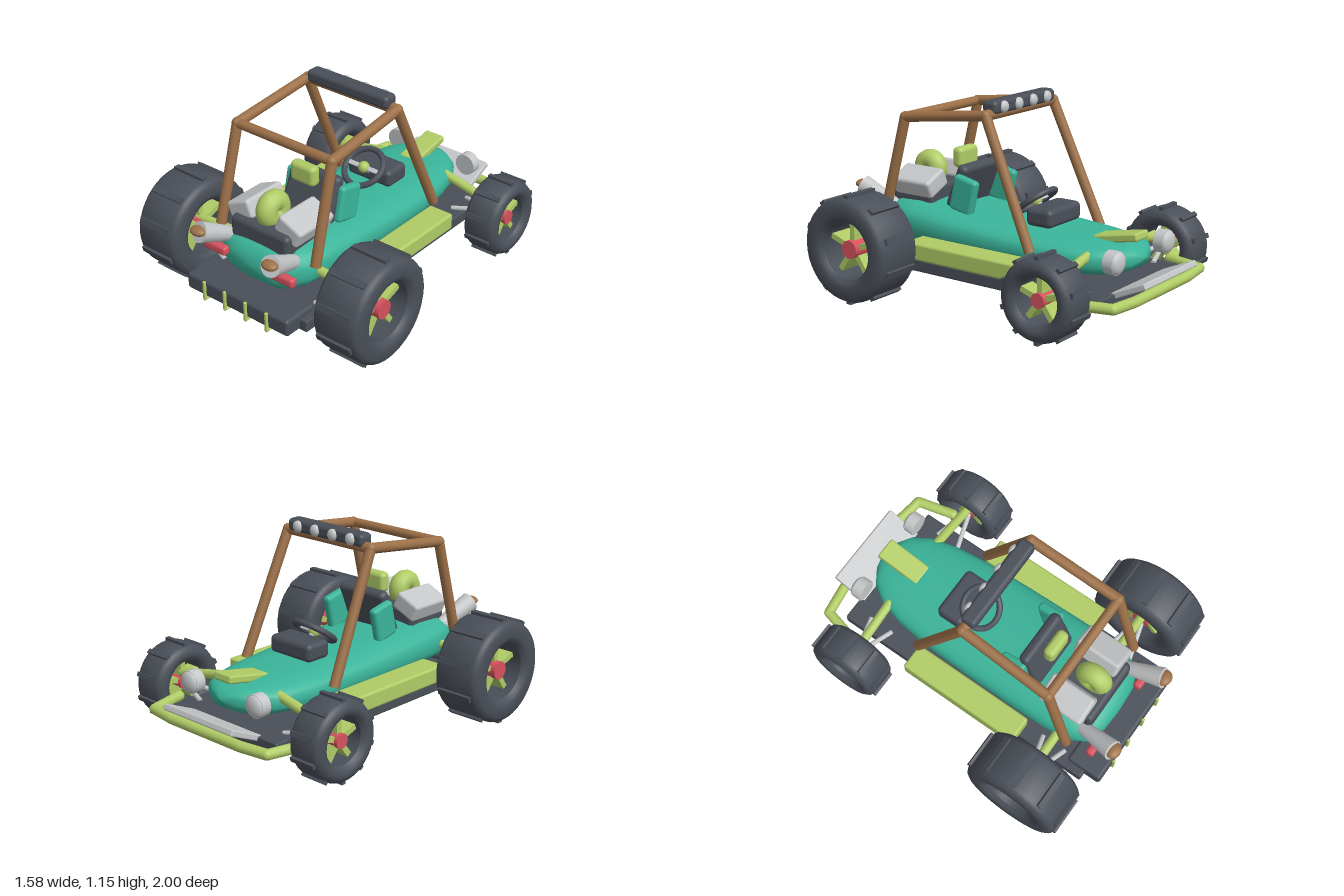
import * as THREE from 'three';
import { toCreasedNormals } from 'three/addons/utils/BufferGeometryUtils.js';
import { RoundedBoxGeometry } from 'three/addons/geometries/RoundedBoxGeometry.js';

const V = (x, y, z) => new THREE.Vector3(x, y, z);

export function createModel() {
  const root = new THREE.Group();
  root.name = 'duneBuggy';
  const mat = (name, color) => {
    const m = new THREE.MeshStandardMaterial({ color });
    m.name = name;
    return m;
  };
  const teal = mat('teal', 0x3ab499), lime = mat('lime', 0xb0cc66), dark = mat('charcoal', 0x4a4f58);
  const brown = mat('bronze', 0x9c7048), silver = mat('silver', 0xc4c6c8), red = mat('red', 0xd6525e);

  const add = (name, geo, m, pos = [0, 0, 0], rot = [0, 0, 0], parent = root) => {
    const mesh = new THREE.Mesh(geo, m);
    mesh.name = name;
    mesh.position.set(...pos);
    mesh.rotation.set(...rot);
    parent.add(mesh);
    return mesh;
  };
  const box = (name, w, h, d, m, pos, rot, r = 0.015) =>
    add(name, new RoundedBoxGeometry(w, h, d, 3, Math.min(r, w / 2.1, h / 2.1, d / 2.1)), m, pos, rot);
  // Straight bar from a to b, radius ra to rb
  const bar = (name, a, b, ra, m, rb = ra) => {
    const d = b.clone().sub(a);
    const mesh = add(name, new THREE.CylinderGeometry(rb, ra, d.length(), 14), m);
    mesh.position.copy(a).addScaledVector(d, 0.5);
    mesh.quaternion.setFromUnitVectors(V(0, 1, 0), d.normalize());
    return mesh;
  };
  const ball = (name, r, m, pos, scale = [1, 1, 1]) =>
    add(name, new THREE.SphereGeometry(r, 20, 14), m, pos).scale.set(...scale);

  // Body tub: superellipse sections lofted along z
  const sections = [ // z, half width, bottom, top
    [0.835, 0.02, 0.36, 0.38], [0.825, 0.17, 0.30, 0.44], [0.785, 0.25, 0.265, 0.485], [0.7, 0.3, 0.25, 0.512],
    [0.55, 0.322, 0.243, 0.515], [0.3, 0.323, 0.235, 0.49], [0, 0.32, 0.235, 0.47], [-0.3, 0.31, 0.235, 0.45],
    [-0.5, 0.288, 0.24, 0.44], [-0.65, 0.25, 0.25, 0.43], [-0.75, 0.19, 0.27, 0.42], [-0.81, 0.1, 0.3, 0.4],
    [-0.835, 0.015, 0.34, 0.36]];
  const pos = [], idx = [], N = 32;
  const pw = (v) => Math.sign(v) * Math.abs(v) ** 0.75;
  sections.forEach(([z, w, lo, hi], s) => {
    for (let i = 0; i < N; i++) {
      const a = (i / N) * Math.PI * 2;
      pos.push(w * pw(Math.cos(a)), (lo + hi) / 2 + ((hi - lo) / 2) * pw(Math.sin(a)), z);
      if (s === sections.length - 1) continue;
      const p = s * N + i, q = s * N + ((i + 1) % N);
      idx.push(p, p + N, q, q, p + N, q + N);
    }
  });
  const last = (sections.length - 1) * N;
  for (let i = 1; i < N - 1; i++) idx.push(0, i, i + 1, last, last + i + 1, last + i);
  const tub = new THREE.BufferGeometry();
  tub.setAttribute('position', new THREE.Float32BufferAttribute(pos, 3));
  tub.setIndex(idx);
  tub.computeVertexNormals();
  add('body', tub, teal);

  // Floor, rear bumper and nose
  box('chassisFloor', 0.82, 0.07, 1.68, dark, [0, 0.18, 0.02], undefined, 0.01);
  box('rearBumper', 0.73, 0.1, 0.22, dark, [0, 0.198, 0.85], undefined, 0.02);
  for (const x of [-0.225, -0.075, 0.075, 0.225]) {
    box('bumperStrip', 0.018, 0.12, 0.018, lime, [x, 0.19, 0.966], undefined, 0.006);
    box('bumperStripFoot', 0.018, 0.014, 0.1, lime, [x, 0.137, 0.92], undefined, 0.006);
  }
  const bumper = new THREE.CurvePath();
  const bp = [V(-0.5, 0.2, -0.7), V(-0.445, 0.2, -0.92), V(-0.27, 0.2, -0.945),
    V(0.27, 0.2, -0.945), V(0.445, 0.2, -0.92), V(0.5, 0.2, -0.7)];
  for (let i = 0; i < 5; i++) {
    bar('frontBumperTube', bp[i], bp[i + 1], 0.03, lime);
    ball('frontBumperJoint', 0.03, lime, bp[i].toArray());
  }
  ball('frontBumperJoint', 0.03, lime, bp[5].toArray());
  box('skidPlate', 0.54, 0.035, 0.24, silver, [0, 0.24, -0.89], [0.42, 0, 0], 0.008);
  box('hoodScoop', 0.13, 0.045, 0.28, lime, [0, 0.445, -0.68], [0.19, 0, 0], 0.012);

  // Seat, dash and steering
  box('seatBack', 0.345, 0.28, 0.07, dark, [0, 0.6, 0.325], [-0.38, 0, 0], 0.03);
  box('headrest', 0.17, 0.12, 0.07, lime, [0, 0.75, 0.385], undefined, 0.028);
  box('dashboard', 0.31, 0.105, 0.17, dark, [0, 0.505, -0.24], undefined, 0.03);
  const wheel = new THREE.Group();
  wheel.name = 'steeringWheel';
  wheel.position.set(0, 0.56, -0.12);
  wheel.rotation.x = -0.93;
  root.add(wheel);
  add('steeringRim', new THREE.TorusGeometry(0.12, 0.018, 10, 32), dark, undefined, undefined, wheel);
  add('steeringSpoke', new THREE.BoxGeometry(0.23, 0.025, 0.015), silver, undefined, undefined, wheel);
  add('steeringHub', new THREE.SphereGeometry(0.034, 16, 12), lime, undefined, undefined, wheel);
  bar('steeringColumn', V(0, 0.56, -0.12), V(0, 0.49, -0.2), 0.018, silver);

  // Engine
  box('engineBlock', 0.41, 0.14, 0.3, dark, [0, 0.52, 0.62], undefined, 0.03);
  add('engineFan', new THREE.TorusGeometry(0.05, 0.06, 14, 28), lime, [0, 0.645, 0.645], [0, Math.PI / 2, 0]);

  // Roof light bar
  box('lightBar', 0.565, 0.075, 0.095, dark, [0, 1.112, -0.003], undefined, 0.025);
  for (const x of [-0.2, -0.067, 0.067, 0.2]) ball('roofLight', 0.034, silver, [x, 1.112, -0.047], [1, 1, 0.7]);

  // Roll cage cross bars
  bar('cageFrontCrossBar', V(-0.315, 1.075, -0.01), V(0.315, 1.075, -0.01), 0.03, brown);
  bar('cageRearCrossBar', V(-0.33, 1.01, 0.55), V(0.33, 1.01, 0.55), 0.027, brown);

  // Tyre ring, tread lugs, spokes and hub; the axle lies along x
  const makeWheel = (name, x, y, z, R, hole, hw) => {
    const g = new THREE.Group();
    g.name = name;
    g.position.set(x, y, z);
    root.add(g);
    const b = 0.035;
    const prof = [[hole, -hw + 0.03], [hole + 0.02, -hw + 0.006], [hole + 0.04, -hw], [R - b, -hw], [R - 0.01, -hw + 0.015],
      [R, -hw + b], [R, hw - b], [R - 0.01, hw - 0.015], [R - b, hw], [hole + 0.04, hw], [hole + 0.02, hw - 0.006],
      [hole, hw - 0.03], [hole, -hw + 0.03]].map((p) => new THREE.Vector2(...p));
    add('tyre', toCreasedNormals(new THREE.LatheGeometry(prof, 40), 0.6), dark, undefined, [0, 0, Math.PI / 2], g);
    for (let i = 0; i < 10; i++) {
      const a = (i / 10) * Math.PI * 2;
      add('treadLug', new THREE.BoxGeometry(hw * 1.5, 0.03, R * 0.12), dark,
        [0, Math.cos(a) * R, Math.sin(a) * R], [a, 0, 0], g);
    }
    for (let i = 0; i < 5; i++) {
      const a = (i / 5) * Math.PI * 2, r = (hole + 0.02) / 2;
      add('spoke', new THREE.BoxGeometry(hw * 0.9, hole + 0.02, 0.032), lime,
        [0, Math.cos(a) * r, Math.sin(a) * r], [a, 0, 0], g);
    }
    add('hub', new THREE.CylinderGeometry(hole * 0.32, hole * 0.32, hw * 1.3, 20), red, undefined, [0, 0, Math.PI / 2], g);
  };

  // Mirrored parts
  for (const s of [-1, 1]) {
    makeWheel('rearWheel', s * 0.642, 0.314, 0.625, 0.298, 0.165, 0.148);
    makeWheel('frontWheel', s * 0.61, 0.248, -0.615, 0.222, 0.128, 0.107);

    // Suspension
    for (const [z, y, xi] of [[0.625, 0.35, 0.6], [-0.615, 0.3, 0.57]]) {
      bar('axleArm', V(s * 0.22, 0.375, z), V(s * xi, y, z), 0.027, lime);
      for (const d of [-0.075, 0.075])
        bar('suspensionRod', V(s * 0.33, 0.215, z + d), V(s * xi, y - 0.04, z), 0.014, silver);
    }

    box('sidePod', 0.16, 0.1, 0.77, lime, [s * 0.405, 0.287, 0.055], undefined, 0.015);
    box('seatBolster', 0.055, 0.21, 0.16, teal, [s * 0.18, 0.57, 0.25], [-0.22, 0, 0], 0.022);
    box('cylinderHead', 0.17, 0.11, 0.28, silver, [s * 0.17, 0.605, 0.59], [0, 0, -s * 0.42], 0.02);
    box('tailLight', 0.16, 0.055, 0.05, red, [s * 0.24, 0.407, 0.842], undefined, 0.018);

    // Exhaust
    bar('exhaustPipe', V(s * 0.215, 0.44, 0.72), V(s * 0.255, 0.545, 0.95), 0.038, silver, 0.06);
    ball('exhaustTip', 0.05, brown, [s * 0.255, 0.555, 0.955], [1, 0.5, 0.8]);

    // Headlight
    add('headlight', new THREE.CylinderGeometry(0.065, 0.065, 0.06, 24), silver, [s * 0.255, 0.38, -0.797], [Math.PI / 2, 0, 0]);
    ball('headlightLens', 0.063, silver, [s * 0.255, 0.38, -0.822], [1, 1, 0.5]);

    // Roll cage side
    const cage = [V(s * 0.345, 0.37, -0.325), V(s * 0.315, 1.075, -0.01), V(s * 0.33, 1.01, 0.55), V(s * 0.34, 0.45, 0.7)];
    for (let i = 0; i < 3; i++) bar('cageTube', cage[i], cage[i + 1], 0.03, brown);
    for (const i of [1, 2]) ball('cageJoint', 0.031, brown, cage[i].toArray());
  }
  return root;
}
